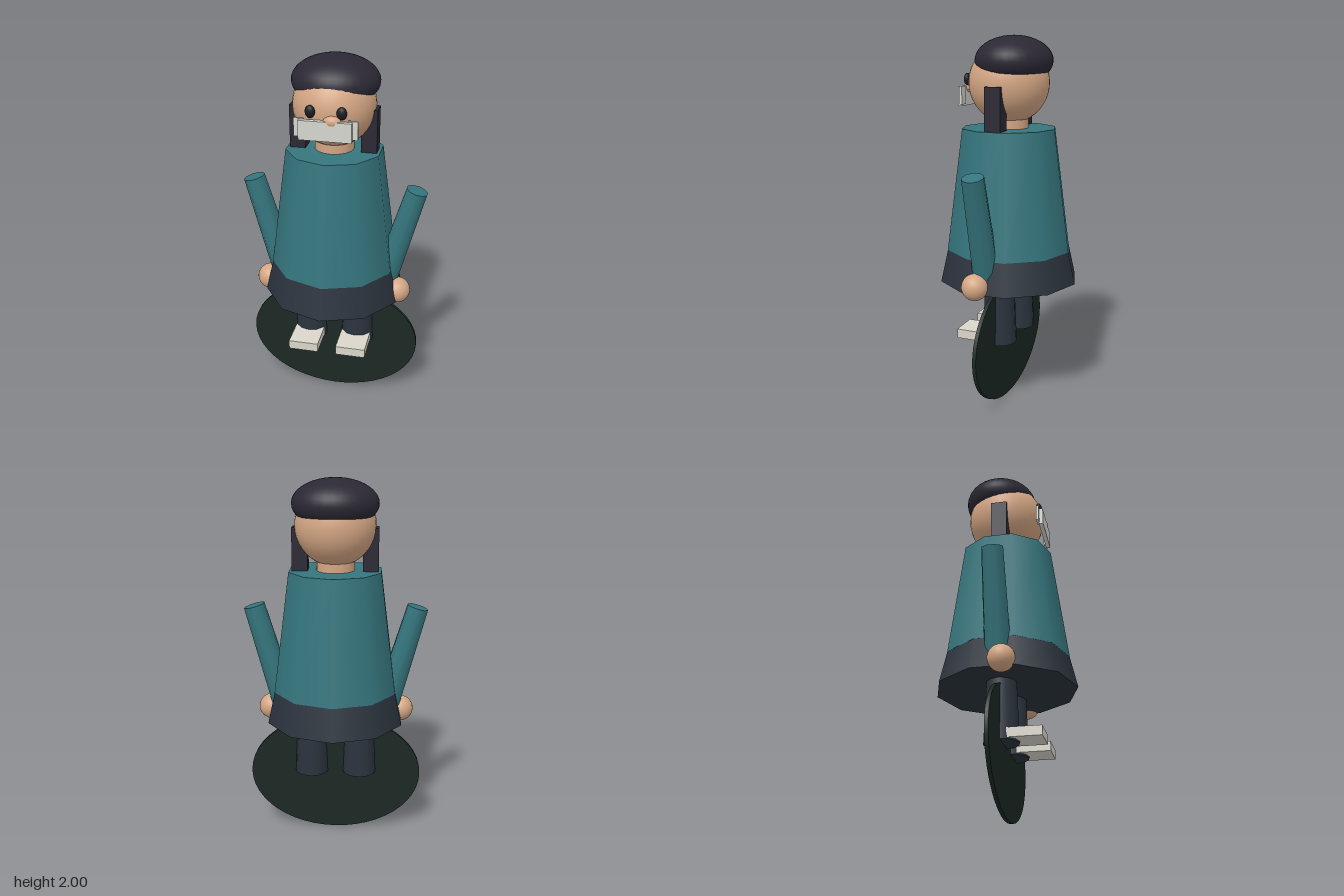
import * as THREE from 'three';

const mat = (color) => new THREE.MeshStandardMaterial({ color });

export function createModel() {
  const model = new THREE.Group();
  const teal = mat(0x35757d), skin = mat(0xd4a684), navy = mat(0x2b333d), hair = mat(0x2b2834);
  const black = mat(0x1a1d20), white = mat(0xd4d6ce), shoeMat = mat(0xdad6cb), dark = mat(0x1c2823);

  const add = (name, geometry, material, x, y, z) => {
    const mesh = new THREE.Mesh(geometry, material);
    mesh.name = name;
    mesh.position.set(x, y, z);
    model.add(mesh);
    return mesh;
  };
  const ball = (name, material, x, y, z, rx, ry = rx, rz = rx, seg = 24) => {
    const mesh = add(name, new THREE.SphereGeometry(1, seg, Math.round(seg * 0.7)), material, x, y, z);
    mesh.scale.set(rx, ry, rz);
    return mesh;
  };
  // Box given by its centre x and its y and z limits
  const box = (name, material, x, width, y0, y1, z0, z1) =>
    add(name, new THREE.BoxGeometry(width, y1 - y0, z1 - z0), material, x, (y0 + y1) / 2, (z0 + z1) / 2);
  // Upright tapered cylinder between two heights
  const drum = (name, material, x, y0, y1, r0, r1, sides) =>
    add(name, new THREE.CylinderGeometry(r1, r0, y1 - y0, sides), material, x, (y0 + y1) / 2, 0);

  // Upright oval disc behind the legs
  const disc = add('backDisc', new THREE.CylinderGeometry(1, 1, 0.02, 48), dark, 0, 0.346, 0);
  disc.rotation.x = Math.PI / 2;
  disc.scale.set(0.48, 1, 0.346);

  // Body
  drum('skirt', navy, 0, 0.685, 0.865, 0.383, 0.342, 10);
  drum('torso', teal, 0, 0.86, 1.518, 0.344, 0.256, 10);
  drum('neck', skin, 0, 1.48, 1.6, 0.103, 0.103, 16);

  // Head and face
  ball('head', skin, 0, 1.755, 0, 0.215, 0.215, 0.215, 32);
  ball('cap', hair, 0, 1.87, -0.028, 0.228, 0.13, 0.203, 32);
  ball('nose', skin, 0.032, 1.73, 0.212, 0.046, 0.03, 0.028, 16);
  box('mouthPlate', white, 0, 0.268, 1.635, 1.735, 0.212, 0.236);

  for (const s of [-1, 1]) {
    ball('eye', black, s * 0.079, 1.773, 0.205, 0.026, 0.032, 0.018, 16);
    box('plateLug', white, s * 0.136, 0.05, 1.645, 1.74, 0.201, 0.215);
    box('hairStrand', hair, s * 0.187, 0.083, 1.42, 1.745, -0.044, 0.044);

    // Arm leaning outward towards its upper end
    const low = new THREE.Vector3(s * 0.288, 0.775, 0.013);
    const high = new THREE.Vector3(s * 0.442, 1.318, 0.013);
    const axis = high.clone().sub(low);
    const mid = low.clone().lerp(high, 0.5);
    const arm = add('arm', new THREE.CylinderGeometry(0.058, 0.07, axis.length(), 10), teal, mid.x, mid.y, mid.z);
    arm.quaternion.setFromUnitVectors(new THREE.Vector3(0, 1, 0), axis.normalize());
    ball('hand', skin, s * 0.362, 0.726, 0.045, 0.071);

    // Leg and shoe
    drum('leg', navy, s * 0.135, 0.356, 0.75, 0.094, 0.078, 12);
    box('shoe', shoeMat, s * 0.134, 0.165, 0.365, 0.416, 0.04, 0.222);
  }
  return model;
}
